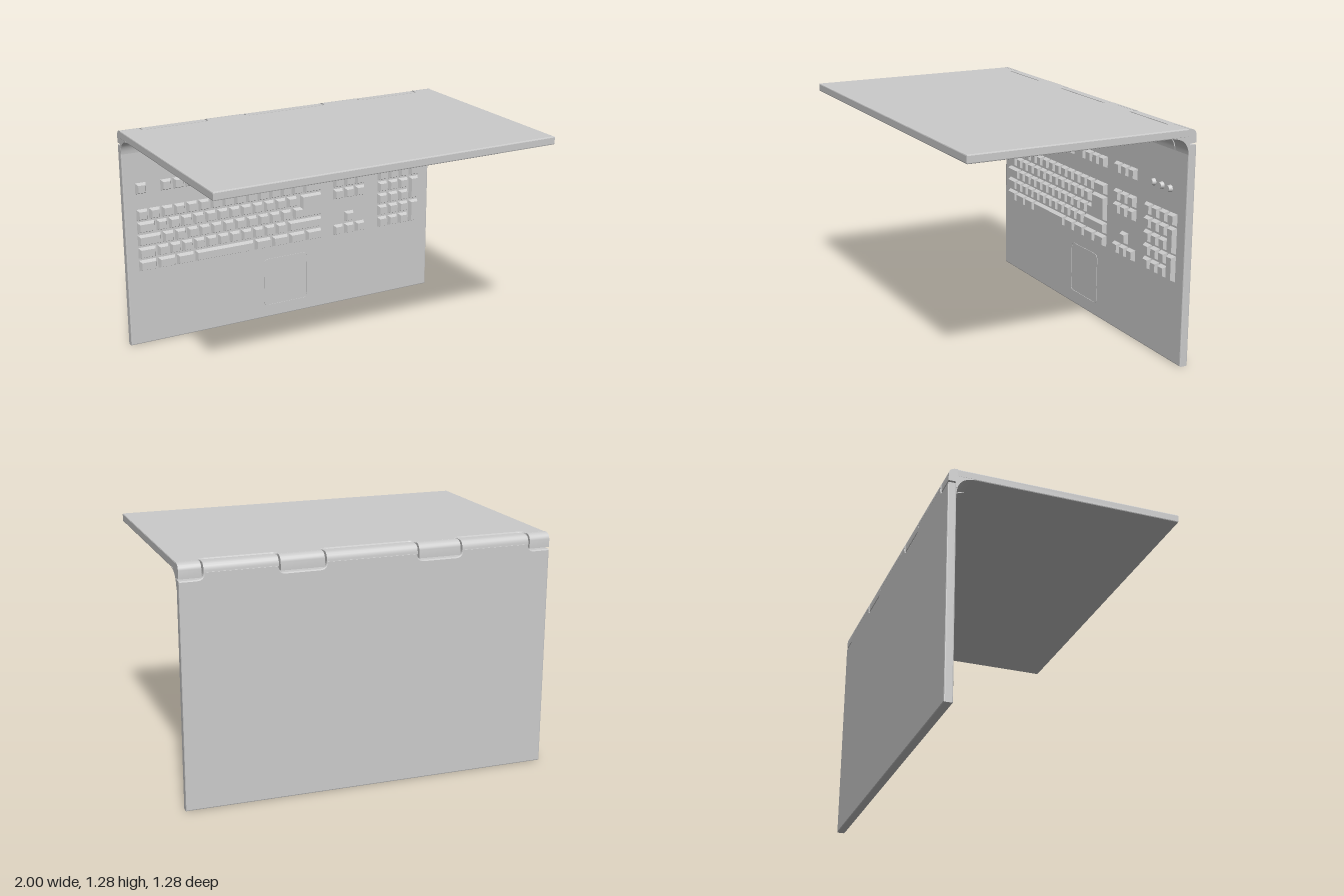
import * as THREE from 'three';
import { toCreasedNormals } from 'three/addons/utils/BufferGeometryUtils.js';

const TOP = 1.28, BACK = -0.64, THICK = 0.046, LENGTH = 1.28, W = 1;
const FACE = BACK + THICK; // keyboard surface
const PITCH = 0.075;
const mat = new THREE.MeshStandardMaterial({ color: 0xcccccc });

function add(parent, name, geo) {
  const m = new THREE.Mesh(geo, mat);
  m.name = name;
  parent.add(m);
  return m;
}

// Flat slab whose hinge edge alternates tabs with round-cornered notches (tabs run right to left)
function plateGeometry(tabs) {
  const depth = 0.085, r = 0.035, tip = 0.045, s = new THREE.Shape();
  s.moveTo(-W, -LENGTH);
  s.lineTo(W, -LENGTH);
  if (tabs[0][1] < W) s.lineTo(W, -depth);
  for (const [x0, x1] of tabs) {
    if (x1 < W) {
      s.lineTo(x1 + r, -depth);
      s.quadraticCurveTo(x1, -depth, x1, -depth + r);
    }
    s.lineTo(x1, -tip);
    s.lineTo(x0, -tip);
    if (x0 > -W) {
      s.lineTo(x0, -depth + r);
      s.quadraticCurveTo(x0, -depth, x0 - r, -depth);
    }
  }
  if (tabs[tabs.length - 1][0] > -W) s.lineTo(-W, -depth);
  const b = 0.006;
  const g = new THREE.ExtrudeGeometry(s, {
    depth: THICK - 2 * b, bevelThickness: b, bevelSize: b, bevelOffset: -b, bevelSegments: 2, curveSegments: 6,
  });
  return g.translate(0, 0, b);
}

// Corner knuckle: rounded outside, concave fillet inside; swap mirrors it across the diagonal
function knuckleGeometry(x0, x1, swap) {
  const p = (a, b) => (swap ? [b, -a] : [a, -b]);
  const s = new THREE.Shape();
  s.moveTo(...p(0, 0.05));
  s.quadraticCurveTo(...p(0, 0.003), ...p(0.04, 0.003));
  s.lineTo(...p(0.075, 0.003));
  s.lineTo(...p(0.075, THICK - 0.006));
  s.lineTo(...p(0.135, THICK));
  s.quadraticCurveTo(...p(0.052, 0.052), ...p(THICK, 0.135));
  s.lineTo(...p(THICK - 0.005, 0.135));
  s.lineTo(...p(THICK - 0.005, 0.05));
  const g = new THREE.ExtrudeGeometry(s, { depth: x1 - x0, bevelEnabled: false, curveSegments: 10 });
  g.rotateY(-Math.PI / 2).translate(x1, TOP, BACK);
  return toCreasedNormals(g, 0.6);
}

// Tapered key cap filling the cell x0..x1, y0..y1
function key(parent, x0, x1, y0, y1, name = 'key') {
  const gap = 0.003, taper = 0.013, h = 0.03;
  const w = x1 - x0 - 2 * gap, t = y1 - y0 - 2 * gap;
  const g = new THREE.BoxGeometry(w, t, h);
  const pos = g.attributes.position;
  for (let i = 0; i < pos.count; i++) {
    if (pos.getZ(i) > 0) {
      pos.setX(i, pos.getX(i) * (1 - 2 * taper / w));
      pos.setY(i, pos.getY(i) * (1 - 2 * taper / t));
    }
  }
  g.computeVertexNormals();
  add(parent, name, g).position.set((x0 + x1) / 2, (y0 + y1) / 2, FACE + h / 2 - 0.006);
}

// Row of keys with the given widths
function keyRow(parent, x, y, widths) {
  for (const w of widths) {
    key(parent, x, x + w, y, y + PITCH);
    x += w;
  }
}

function roundedRect(S, x0, y0, x1, y1, r) {
  const s = new S();
  s.moveTo(x0 + r, y0);
  s.lineTo(x1 - r, y0);
  s.quadraticCurveTo(x1, y0, x1, y0 + r);
  s.lineTo(x1, y1 - r);
  s.quadraticCurveTo(x1, y1, x1 - r, y1);
  s.lineTo(x0 + r, y1);
  s.quadraticCurveTo(x0, y1, x0, y1 - r);
  s.lineTo(x0, y0 + r);
  s.quadraticCurveTo(x0, y0, x0 + r, y0);
  return s;
}

export function createModel() {
  const model = new THREE.Group();
  model.name = 'laptop';

  // Upright base and level lid with interlocking hinge edges
  const baseTabs = [[0.495, 0.875], [-0.245, 0.245], [-0.875, -0.495]];
  const lidTabs = [[0.885, W], [0.255, 0.485], [-0.485, -0.255], [-W, -0.885]];
  add(model, 'base', plateGeometry(baseTabs)).position.set(0, TOP, BACK);
  const lid = add(model, 'screenLid', plateGeometry(lidTabs));
  lid.rotation.x = -Math.PI / 2;
  lid.position.set(0, TOP - THICK, BACK);

  const hinge = new THREE.Group();
  hinge.name = 'hinge';
  model.add(hinge);
  for (const [a, b] of baseTabs) add(hinge, 'baseKnuckle', knuckleGeometry(a, b, false));
  for (const [a, b] of lidTabs) add(hinge, 'lidKnuckle', knuckleGeometry(a, b, true));

  // Keyboard
  const keys = new THREE.Group();
  keys.name = 'keyboard';
  model.add(keys);
  const n = (count, w = PITCH) => Array(count).fill(w);
  const rowY = [0.745, 0.67, 0.593, 0.518, 0.442];
  const left = -0.935, right = 0.245;

  // Separate top row
  keyRow(keys, left, 0.9, n(1));
  for (const x of [-0.785, -0.425, -0.06]) keyRow(keys, x, 0.9, n(4));
  keyRow(keys, 0.32, 0.9, n(3));

  // Main block
  keyRow(keys, left, rowY[0], [...n(14), 0.13]);
  keyRow(keys, left, rowY[1], [0.115, ...n(12)]);
  keyRow(keys, left, rowY[2], [0.15, ...n(11)]);
  keyRow(keys, left, rowY[3], [0.115, ...n(11)]);
  key(keys, 0.01, right, rowY[3], rowY[3] + PITCH, 'shiftKey');
  keyRow(keys, left, rowY[4], n(3, 0.115));
  key(keys, -0.59, -0.21, rowY[4], rowY[4] + PITCH, 'spaceBar');
  keyRow(keys, -0.21, rowY[4], n(4, 0.1137));
  key(keys, 0.095, right, rowY[2], rowY[0], 'enterKey');
  key(keys, 0.045, right, rowY[2], rowY[1], 'enterKeyFoot');

  // Navigation and arrow keys
  keyRow(keys, 0.32, rowY[0], n(3));
  keyRow(keys, 0.32, rowY[1], n(3));
  keyRow(keys, 0.395, rowY[3], n(1));
  keyRow(keys, 0.32, rowY[4], n(3));

  // Number pad
  rowY.forEach((y, i) => keyRow(keys, 0.63, y, n(i === 0 ? 4 : 3)));
  key(keys, 0.855, 0.93, rowY[2], rowY[0], 'tallKey');
  key(keys, 0.855, 0.93, rowY[4], rowY[2], 'tallKey');

  // Indicator lights
  for (const x of [0.7, 0.777, 0.853]) {
    const light = add(model, 'indicatorLight', new THREE.CylinderGeometry(0.016, 0.021, 0.024, 16));
    light.rotation.x = Math.PI / 2;
    light.position.set(x, 0.937, FACE + 0.008);
  }

  // Touchpad rim
  const rim = roundedRect(THREE.Shape, -0.147, 0.073, 0.147, 0.373, 0.03);
  rim.holes.push(roundedRect(THREE.Path, -0.141, 0.079, 0.141, 0.367, 0.025));
  const rimGeo = new THREE.ExtrudeGeometry(rim, { depth: 0.006, bevelEnabled: false, curveSegments: 5 });
  add(model, 'touchpadRim', rimGeo).position.z = FACE - 0.003;

  return model;
}
